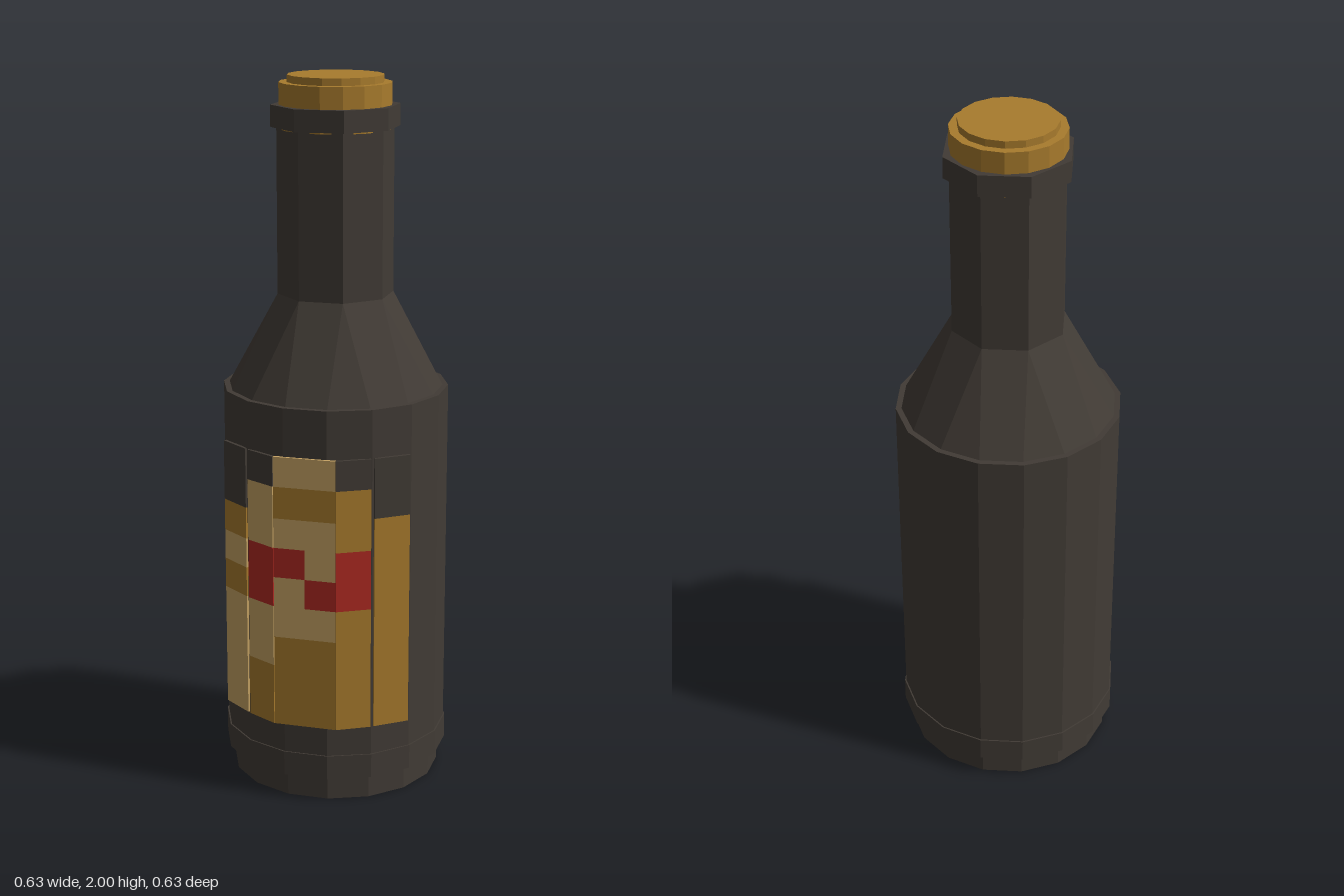
import * as THREE from 'three';

const material = (name, color) => {
  const m = new THREE.MeshStandardMaterial({ color, flatShading: true });
  m.name = name;
  return m;
};

export function createModel() {
  const model = new THREE.Group();
  model.name = 'bottle';
  const dark = material('dark glass', 0x413b35);
  const gold = material('gold', 0xa87b2d);
  const tan = material('pale tan', 0xc6a364);
  const red = material('red', 0xb02a22);

  const add = (name, geometry, mat, parent = model) => {
    const mesh = new THREE.Mesh(geometry, mat);
    mesh.name = name;
    parent.add(mesh);
    return mesh;
  };

  // Prism measured across its flats, with a flat side facing the front
  const prism = (name, apothem, y0, y1, sides, mat, bottom = apothem) => {
    const k = 1 / Math.cos(Math.PI / sides);
    const g = new THREE.CylinderGeometry(apothem * k, bottom * k, y1 - y0, sides, 1, false, Math.PI / sides);
    g.translate(0, (y0 + y1) / 2, 0);
    return add(name, g, mat);
  };
  prism('foot', 0.293, 0, 0.08, 16, dark);
  prism('baseBand', 0.315, 0.07, 0.14, 16, dark);
  prism('body', 0.311, 0.08, 1.14, 16, dark);
  prism('neck', 0.15, 1.38, 1.9, 8, dark);
  prism('collar', 0.165, 1.86, 1.92, 8, dark);

  // Faceted shoulder: sixteen-sided below, eight-sided above
  const lower = [], upper = [];
  const step = Math.PI / 8;
  for (let i = 0; i < 16; i++) {
    const a = (i + 0.5) * step, b = i * step;
    const rl = 0.295 / Math.cos(step / 2);
    const ru = i % 2 ? 0.15 / Math.cos(step) : 0.15;
    lower.push([rl * Math.sin(a), 1.14, rl * Math.cos(a)]);
    upper.push([ru * Math.sin(b), 1.4, ru * Math.cos(b)]);
  }
  const points = [];
  for (let i = 0; i < 16; i++) {
    const j = (i + 1) % 16;
    points.push(...upper[i], ...lower[(i + 15) % 16], ...lower[i]);
    points.push(...upper[i], ...lower[i], ...upper[j]);
  }
  const shoulder = new THREE.BufferGeometry();
  shoulder.setAttribute('position', new THREE.Float32BufferAttribute(points, 3));
  shoulder.computeVertexNormals();
  add('shoulder', shoulder, dark);

  // Stopper
  const disc = (name, r, y0, y1) => {
    const g = new THREE.CylinderGeometry(r, r, y1 - y0, 16);
    g.translate(0, (y0 + y1) / 2, 0);
    add(name, g, gold);
  };
  disc('stopper', 0.156, 1.855, 1.98);
  disc('stopperTop', 0.133, 1.97, 2);

  // Label panels, each running between two points in plan
  const panel = (name, x0, z0, x1, z1) => {
    const g = new THREE.Group();
    g.name = name;
    g.position.set((x0 + x1) / 2, 0, (z0 + z1) / 2);
    g.rotation.y = Math.atan2(z0 - z1, x1 - x0);
    g.userData.width = Math.hypot(x1 - x0, z1 - z0);
    model.add(g);
    return g;
  };
  // Coloured patch covering the fraction u0..u1 of a panel
  const patch = (parent, mat, y0, y1, u0 = 0, u1 = 1) => {
    const w = parent.userData.width;
    const g = new THREE.BoxGeometry(w * (u1 - u0), y1 - y0, 0.009);
    g.translate(w * ((u0 + u1) / 2 - 0.5), (y0 + y1) / 2, -0.0045);
    add('labelPatch', g, mat, parent);
  };
  const stack = (parent, rows) => rows.forEach(([mat, y0, y1]) => patch(parent, mat, y0, y1));

  const centre = panel('labelCentre', -0.088, 0.318, 0.088, 0.318);
  stack(centre, [
    [gold, 0.225, 0.485], [tan, 0.485, 0.575],
    [tan, 0.745, 0.83], [gold, 0.83, 0.92], [tan, 0.92, 1.005],
  ]);
  patch(centre, tan, 0.575, 0.66, 0, 0.5);
  patch(centre, red, 0.575, 0.66, 0.5, 1);
  patch(centre, red, 0.66, 0.745, 0, 0.5);
  patch(centre, tan, 0.66, 0.745, 0.5, 1);

  stack(panel('labelInnerLeft', 0.09, 0.318, 0.176, 0.27), [
    [gold, 0.225, 0.575], [red, 0.575, 0.745], [gold, 0.745, 0.92], [dark, 0.92, 1.005],
  ]);
  stack(panel('labelInnerRight', -0.176, 0.27, -0.09, 0.318), [
    [gold, 0.225, 0.4], [tan, 0.4, 0.575], [red, 0.575, 0.745], [tan, 0.745, 0.92], [dark, 0.92, 1.005],
  ]);
  stack(panel('labelOuterLeft', 0.184, 0.264, 0.267, 0.2), [
    [gold, 0.225, 0.835], [dark, 0.835, 1.005],
  ]);
  stack(panel('labelOuterRight', -0.267, 0.2, -0.184, 0.264), [
    [tan, 0.225, 0.575], [gold, 0.575, 0.66], [tan, 0.66, 0.745], [gold, 0.745, 0.835], [dark, 0.835, 1.005],
  ]);

  return model;
}
